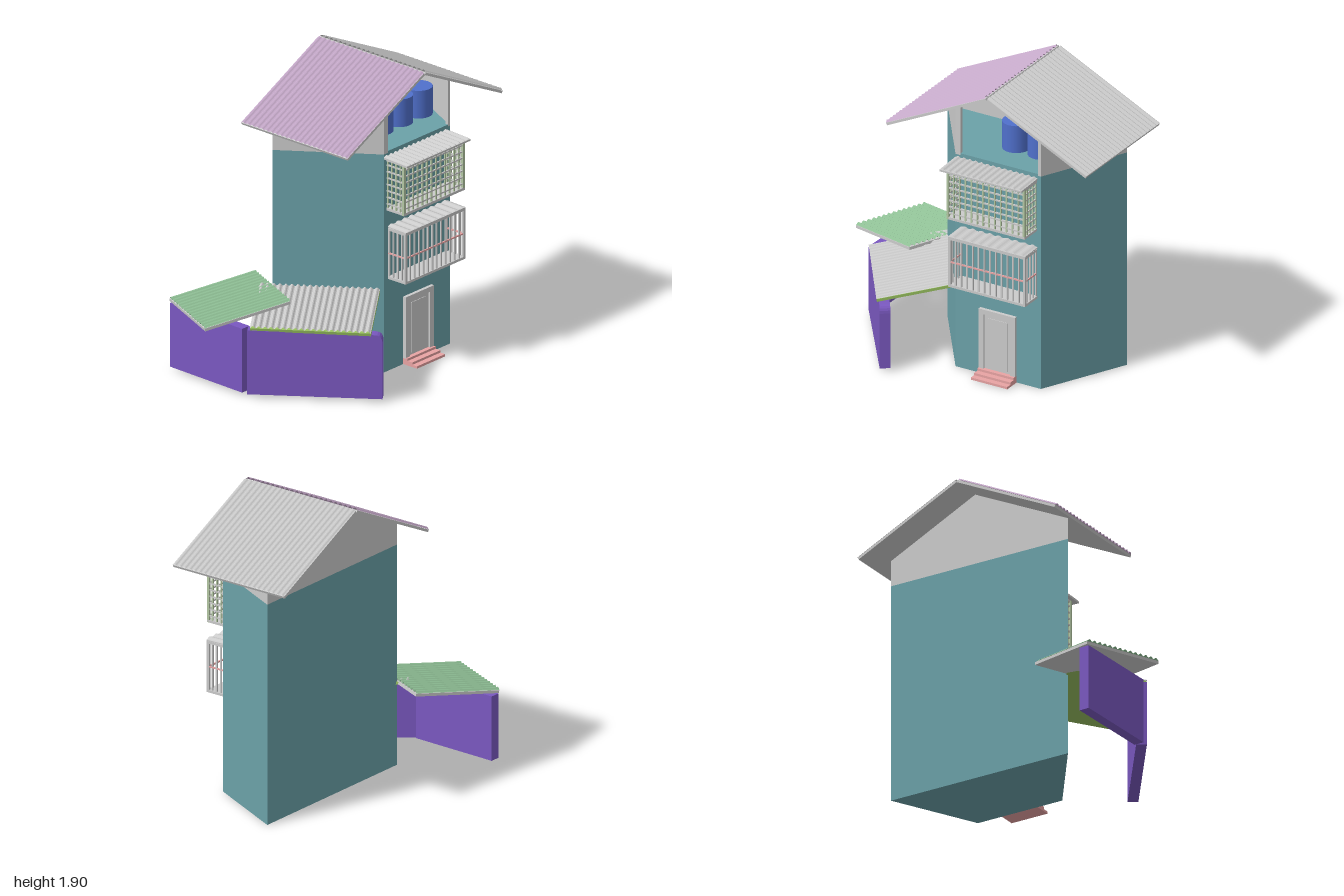
import * as THREE from 'three';

const GREY = 0xcccccc, TEAL = 0x6ba1a8, PURPLE = 0x7a58c0, GREEN = 0x8fbf95,
  LEAF = 0x98c060, MAUVE = 0xc4a8c8, PINK = 0xe8a3a3, BLUE = 0x5070cc, PALE = 0xb4c8a4;
const V = (x, y, z) => new THREE.Vector3(x, y, z);

const mat = (color, double) => new THREE.MeshStandardMaterial({
  color, flatShading: true, side: double ? THREE.DoubleSide : THREE.FrontSide });

function add(parent, name, geometry, color = GREY, double = false) {
  const mesh = new THREE.Mesh(geometry, mat(color, double));
  mesh.name = name;
  parent.add(mesh);
  return mesh;
}

// Box given by its limits on each axis
function block(parent, name, [x0, x1], [y0, y1], [z0, z1], color) {
  const g = new THREE.BoxGeometry(x1 - x0, y1 - y0, z1 - z0);
  g.translate((x0 + x1) / 2, (y0 + y1) / 2, (z0 + z1) / 2);
  return add(parent, name, g, color);
}

// Sloped slab with a corrugated sheet on top: o is the low corner,
// u runs along the eave and v runs up the slope
function roofPanel(parent, name, o, u, v, ribs, sheetColor, slabColor = GREY, thick = 0.018, amp = 0.007) {
  let n = v.clone().cross(u).normalize();
  if (n.y < 0) {
    o = o.clone().add(u);
    u = u.clone().negate();
    n = n.negate();
  }
  const w = u.length(), l = v.length();
  const group = new THREE.Group();
  group.name = name;
  group.applyMatrix4(new THREE.Matrix4()
    .makeBasis(u.clone().normalize(), n, v.clone().normalize()).setPosition(o));
  block(group, name + 'Slab', [0, w], [0, thick], [0, l], slabColor);
  const sheet = new THREE.PlaneGeometry(w, l, ribs * 6, 1);
  sheet.rotateX(-Math.PI / 2).translate(w / 2, 0, l / 2);
  const p = sheet.attributes.position;
  for (let i = 0; i < p.count; i++) {
    p.setY(i, thick + amp * (1.3 - Math.cos(p.getX(i) / w * ribs * Math.PI * 2)));
  }
  sheet.computeVertexNormals();
  add(group, name + 'Sheet', sheet, sheetColor, true);
  parent.add(group);
}

// Free-standing garden wall from a to b in plan; r rounds the top corner at a
function gardenWall(parent, a, b, r) {
  const t = 0.065, y0 = 0.02, y1 = 0.435;
  const len = Math.hypot(b[0] - a[0], b[1] - a[1]);
  const s = new THREE.Shape();
  s.moveTo(0, y0);
  s.lineTo(len, y0);
  s.lineTo(len, y1);
  s.lineTo(r, y1);
  if (r) s.quadraticCurveTo(0, y1, 0, y1 - r);
  else s.lineTo(0, y1);
  const g = new THREE.ExtrudeGeometry(s, { depth: t, bevelEnabled: false, curveSegments: 5 });
  g.translate(0, 0, -t / 2);
  const m = add(parent, 'gardenWall', g, PURPLE);
  m.position.set(a[0], 0, a[1]);
  m.rotation.y = -Math.atan2(b[1] - a[1], b[0] - a[0]);
}

// Projecting window cage: bars on the front and both sides, with a tray below
function cage(parent, name, [x0, x1], [y0, y1], cols, rows, colColor, rowColor) {
  const group = new THREE.Group();
  group.name = name;
  parent.add(group);
  const zb = 0.35, zf = 0.485, r = 0.0045;
  const upright = (x, z, k = r) => block(group, 'upright', [x - k, x + k], [y0, y1], [z - k, z + k], colColor);
  block(group, 'tray', [x0 - 0.008, x1 + 0.008], [y0, y0 + 0.016], [zb, zf + 0.008], GREY);
  block(group, 'topRail', [x0, x1], [y1 - 0.016, y1], [zf - 0.006, zf + 0.006], GREY);
  for (let i = 0; i <= cols; i++) {
    upright(x0 + (x1 - x0) * i / cols, zf, i % cols ? r : 0.008);
  }
  for (const x of [x0, x1]) {
    block(group, 'sideRail', [x - 0.006, x + 0.006], [y1 - 0.016, y1], [zb, zf], GREY);
    for (let i = 0; i < 4; i++) upright(x, zb + 0.005 + (zf - zb) * i / 4);
  }
  for (let j = 1; j < rows; j++) {
    const y = y0 + (y1 - y0) * j / rows;
    block(group, 'crossBar', [x0, x1], [y - r, y + r], [zf - r, zf + r], rowColor);
    for (const x of [x0, x1]) block(group, 'sideBar', [x - r, x + r], [y - r, y + r], [zb, zf], rowColor);
  }
}

export function createModel() {
  const house = new THREE.Group();
  house.name = 'house';
  const floorY = 1.42, ridgeX = 0.29;
  const roofY = x => 1.878 - 0.486 * Math.abs(x - ridgeX);

  // Tower with a trapezoid plan, wide at the back
  const plan = new THREE.Shape([[0.02, 0.35], [0.62, 0.35], [0.89, -0.2], [-0.37, -0.2]]
    .map(([x, z]) => new THREE.Vector2(x, -z)));
  const tower = new THREE.ExtrudeGeometry(plan, { depth: floorY, bevelEnabled: false });
  tower.rotateX(-Math.PI / 2);
  add(house, 'tower', tower, TEAL);

  // Attic walls, open at the front, meeting the slope of the roof
  const run = [[0.055, 0.33], [0.055, 0.35], [0.02, 0.35], [-0.37, -0.2], [ridgeX, -0.2],
    [0.89, -0.2], [0.62, 0.35], [0.6, 0.35], [0.6, 0.33]];
  const verts = [];
  for (let i = 0; i < run.length - 1; i++) {
    const [a, b] = [run[i], run[i + 1]];
    const a0 = [a[0], floorY, a[1]], a1 = [a[0], roofY(a[0]), a[1]];
    const b0 = [b[0], floorY, b[1]], b1 = [b[0], roofY(b[0]), b[1]];
    verts.push(...b0, ...a0, ...a1, ...b0, ...a1, ...b1);
  }
  const attic = new THREE.BufferGeometry();
  attic.setAttribute('position', new THREE.Float32BufferAttribute(verts, 3));
  attic.computeVertexNormals();
  add(house, 'atticWalls', attic, GREY, true);
  block(house, 'atticSill', [0.055, 0.6], [floorY, floorY + 0.012], [0.33, 0.35], TEAL);

  // Water barrels in the attic
  for (let i = 0; i < 3; i++) {
    const barrel = add(house, 'barrel', new THREE.CylinderGeometry(0.086, 0.086, 0.18, 24), BLUE);
    barrel.material.flatShading = false;
    barrel.position.set(0.283 + i * 0.178, floorY + 0.09, 0.08);
  }

  // Main gable roof
  for (const s of [-1, 1]) {
    const ex = ridgeX + s * 0.697;
    roofPanel(house, s < 0 ? 'mainRoofRight' : 'mainRoofLeft', V(ex, roofY(ex), -0.41), V(0, 0, 0.85),
      V(ridgeX - ex, roofY(ridgeX) - roofY(ex), 0), 23, s < 0 ? MAUVE : GREY, GREY, 0.016, 0.006);
  }

  // Lean-to roofs over the side yard
  roofPanel(house, 'frontLeanTo', V(-0.38, 0.432, 0.6), V(-0.42, 0, -0.6), V(0.39, 0.088, -0.27), 20, GREY, LEAF);
  roofPanel(house, 'backLeanTo', V(-1, 0.442, -0.18), V(0.21, 0, -0.47), V(0.515, 0.08, 0.23), 14, GREEN);

  // Yard walls
  gardenWall(house, [-0.305, 0.63], [-0.785, -0.03], 0.05);
  gardenWall(house, [-0.78, -0.05], [-0.765, -0.64], 0);

  // Window cages and their corrugated covers
  cage(house, 'upperCage', [0.05, 0.585], [1.05, 1.385], 13, 8, PALE, GREY);
  roofPanel(house, 'upperAwning', V(0.02, 1.38, 0.535), V(0.575, 0, 0), V(0, 0.008, -0.185), 14, GREY, GREY, 0.012, 0.005);
  cage(house, 'lowerCage', [0.063, 0.588], [0.6, 0.93], 13, 2, GREY, PINK);
  roofPanel(house, 'lowerCover', V(0.055, 0.93, 0.495), V(0.54, 0, 0), V(0, 0.004, -0.145), 9, GREY, GREY, 0.006, 0.005);

  // Door with frame and steps
  block(house, 'doorPanel', [0.23, 0.415], [0.04, 0.41], [0.34, 0.358]);
  block(house, 'doorInset', [0.255, 0.39], [0.06, 0.385], [0.35, 0.362]);
  block(house, 'doorFrameTop', [0.195, 0.45], [0.408, 0.44], [0.34, 0.372]);
  for (const x of [0.195, 0.415]) block(house, 'doorJamb', [x, x + 0.035], [0.04, 0.41], [0.34, 0.372]);
  for (let i = 0; i < 3; i++) {
    block(house, 'step', [0.195, 0.45], [i * 0.015, (i + 1) * 0.015], [0.34, 0.46 - i * 0.037], PINK);
  }
  return house;
}
